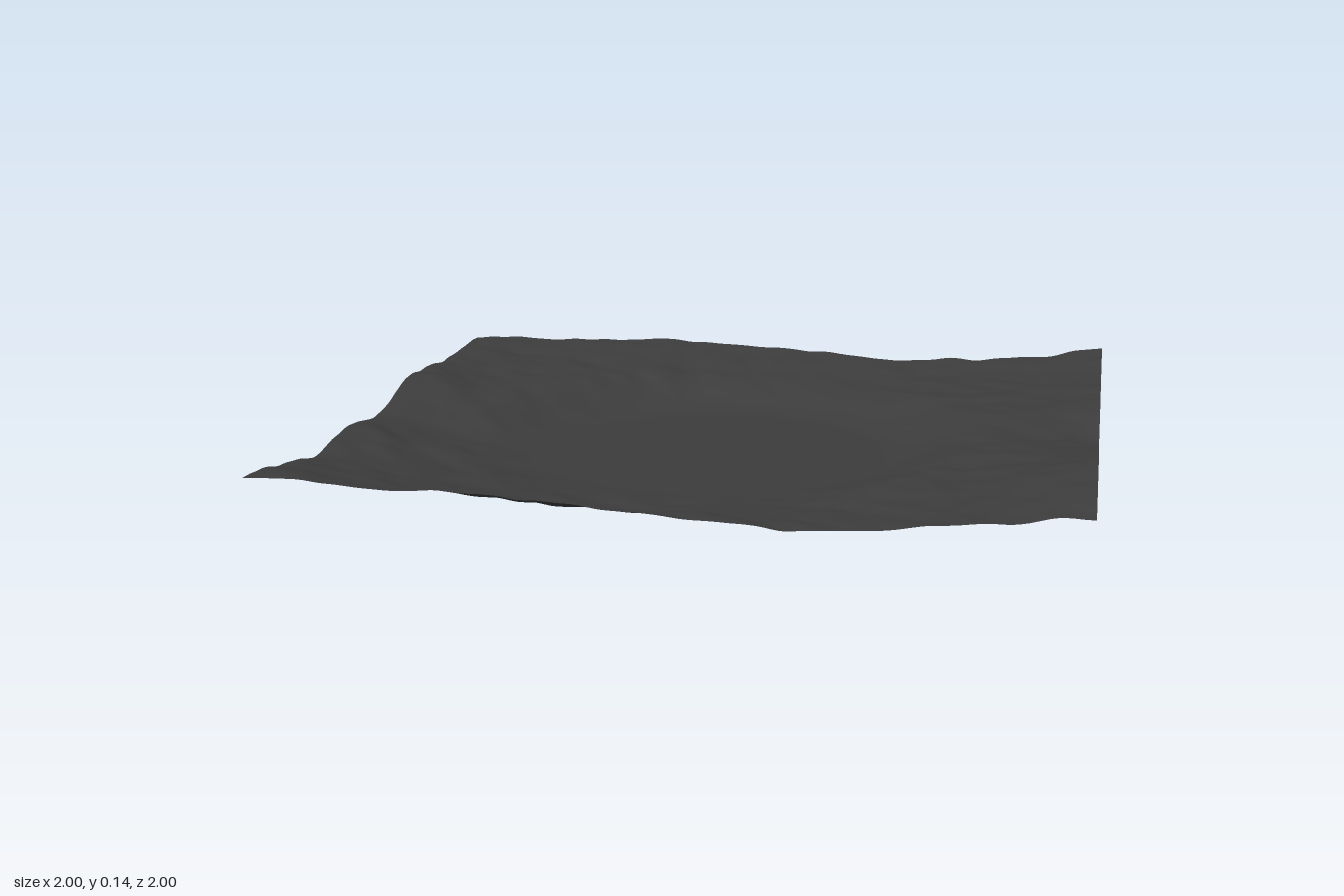
import * as THREE from 'three';

// Coarse hill heights in hundredths: rows run z -1..1, columns x -1..1
const HEIGHTS = [
  [11.5, 11, 12, 11.5, 10.5, 8.5, 8.5, 10, 13],
  [10, 9.5, 10, 8.5, 7, 5.5, 6.5, 8.5, 11],
  [11, 9, 8, 5.5, 4.5, 5, 6.5, 8.5, 10],
  [12, 8, 5, 4, 4, 5, 6, 8, 10.5],
  [6.5, 3, 2, 2, 3, 5, 6.3, 6.5, 6.5],
  [8.5, 3, 2, 2, 2, 4, 6, 7, 9.5],
  [7, 4, 2.5, 2, 1.5, 3, 5, 8, 14],
  [9.5, 7, 4.5, 2.5, 2, 3, 5, 8.5, 13.5],
  [13, 11.5, 11, 9.5, 8, 5.5, 6.5, 9, 11.5],
];

const { clamp, lerp, smoothstep } = THREE.MathUtils;

// Smooth spline through evenly spaced values, t in cells
function spline(values, t) {
  const last = values.length - 1;
  const i = Math.min(Math.floor(t), last - 1);
  const f = t - i;
  const at = (k) => values[clamp(k, 0, last)];
  const a = at(i), b = at(i + 1);
  const m0 = (b - at(i - 1)) / 2, m1 = (at(i + 2) - a) / 2;
  const f2 = f * f, f3 = f2 * f;
  return (2 * f3 - 3 * f2 + 1) * a + (f3 - 2 * f2 + f) * m0
    + (3 * f2 - 2 * f3) * b + (f3 - f2) * m1;
}

// Repeatable value noise in -1..1
function hash(i, j) {
  const s = Math.sin(i * 127.1 + j * 311.7) * 43758.5453;
  return (s - Math.floor(s)) * 2 - 1;
}
function noise(x, z) {
  const i = Math.floor(x), j = Math.floor(z);
  const u = smoothstep(x - i, 0, 1);
  const v = smoothstep(z - j, 0, 1);
  return lerp(lerp(hash(i, j), hash(i + 1, j), u),
    lerp(hash(i, j + 1), hash(i + 1, j + 1), u), v);
}

// Hills with diagonal ripples, levelled to a round flat basin in the middle
function heightAt(x, z) {
  const cx = clamp((x + 1) * 4, 0, 8), cz = clamp((z + 1) * 4, 0, 8);
  const hills = spline(HEIGHTS.map((row) => spline(row, cx)), cz) / 100;
  const along = x + z, across = x - z;
  const bumps = 0.006 * noise(along * 4 + 20, across * 6 + 20)
    + 0.005 * noise(along * 8 + 50, across * 13 + 50);
  const basin = smoothstep(Math.hypot(x + 0.03, z), 0.45, 0.74);
  return clamp((hills + bumps) * basin, 0, 0.15);
}

export function createModel() {
  const group = new THREE.Group();
  group.name = 'terrain';

  // Ground sheet
  const geometry = new THREE.PlaneGeometry(2, 2, 120, 120).rotateX(-Math.PI / 2);
  const pos = geometry.attributes.position;
  for (let i = 0; i < pos.count; i++) {
    pos.setY(i, heightAt(pos.getX(i), pos.getZ(i)));
  }
  geometry.computeVertexNormals();

  const material = new THREE.MeshStandardMaterial({ color: 0x3c3c3c, side: THREE.DoubleSide });
  const ground = new THREE.Mesh(geometry, material);
  ground.name = 'ground';
  group.add(ground);
  return group;
}
